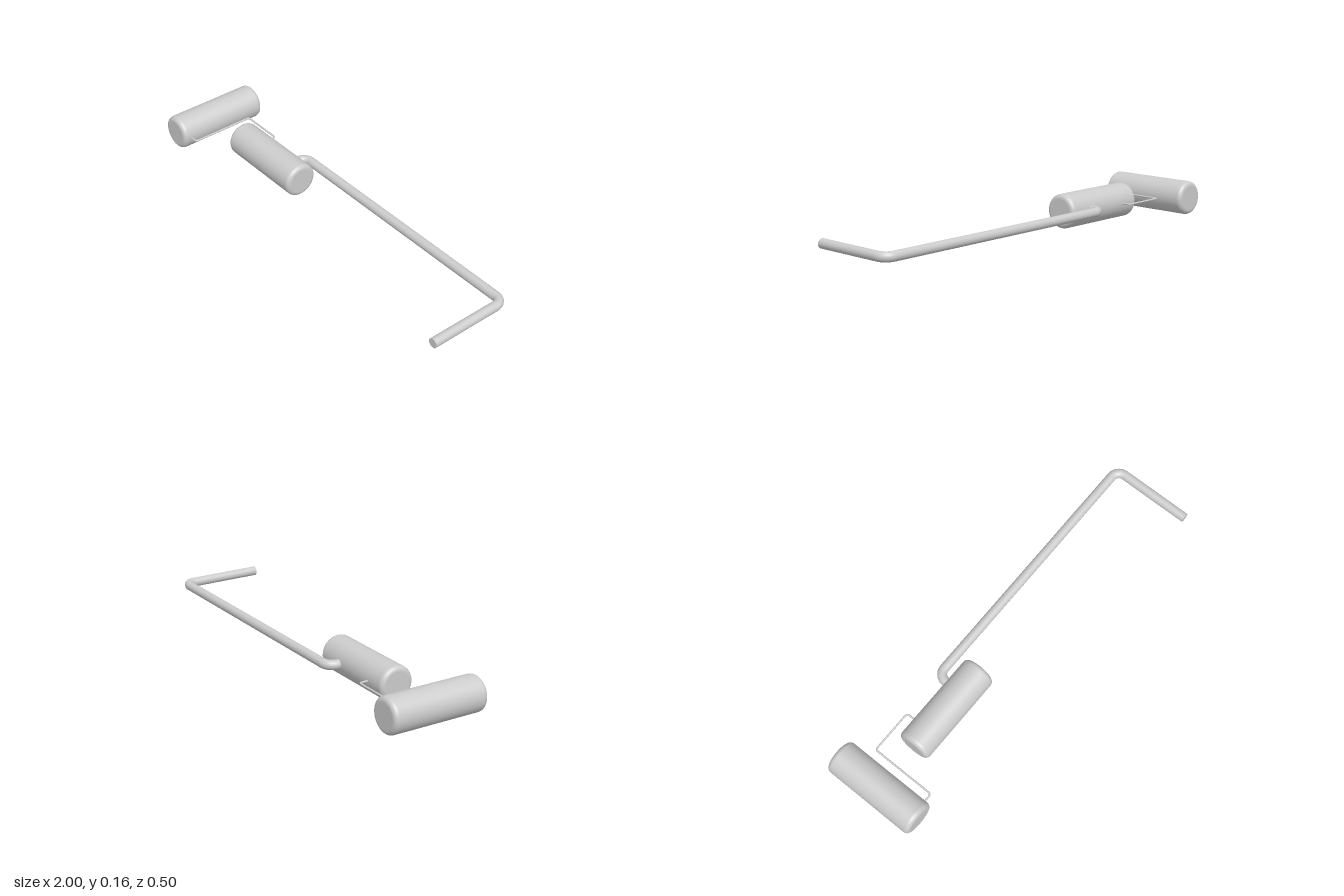
import * as THREE from 'three';

const MID = 0.082; // height of every axis
const material = new THREE.MeshStandardMaterial({ color: 0xcccccc });

// Solid cylinder with rounded rims, axis along y, centred
function roundedCylinder(name, radius, length, fillet) {
  const h = length / 2;
  const profile = [new THREE.Vector2(0, -h)];
  const normalsSteps = 8;
  // short flat ring beside each rim keeps the end caps shading flat
  profile.push(new THREE.Vector2(radius - fillet - 0.001, -h));
  for (const end of [0, 1]) {
    for (let i = 0; i <= normalsSteps; i++) {
      const a = -Math.PI / 2 + (Math.PI / 2) * (i / normalsSteps + end);
      const y = end ? h - fillet : -h + fillet;
      profile.push(new THREE.Vector2(radius - fillet + fillet * Math.cos(a), y + fillet * Math.sin(a)));
    }
  }
  profile.push(new THREE.Vector2(radius - fillet - 0.001, h), new THREE.Vector2(0, h));
  const mesh = new THREE.Mesh(new THREE.LatheGeometry(profile, 64), material);
  mesh.name = name;
  return mesh;
}

// Round rod through [x, z] corners, with quarter-round bends and flat ends
function bentRod(name, corners, radius, bend, sides) {
  const pts = corners.map(([x, z]) => new THREE.Vector3(x, MID, z));
  const path = new THREE.CurvePath();
  const toward = (from, to, d) => from.clone().addScaledVector(to.clone().sub(from).normalize(), d);
  const k = bend * (1 - 0.5523);
  let last = pts[0];
  for (let i = 1; i < pts.length - 1; i++) {
    const [a, p, b] = [pts[i - 1], pts[i], pts[i + 1]];
    const start = toward(p, a, bend), end = toward(p, b, bend);
    path.add(new THREE.LineCurve3(last, start));
    path.add(new THREE.CubicBezierCurve3(start, toward(p, a, k), toward(p, b, k), end));
    last = end;
  }
  path.add(new THREE.LineCurve3(last, pts[pts.length - 1]));

  const group = new THREE.Group();
  group.name = name;
  group.add(new THREE.Mesh(new THREE.TubeGeometry(path, 300, radius, sides), material));
  // End caps
  for (const [end, next] of [[pts[0], pts[1]], [pts[pts.length - 1], pts[pts.length - 2]]]) {
    const cap = new THREE.Mesh(new THREE.CircleGeometry(radius, sides), material);
    cap.position.copy(end);
    cap.lookAt(end.clone().multiplyScalar(2).sub(next));
    group.add(cap);
  }
  return group;
}

export function createModel() {
  const model = new THREE.Group();

  // Outer roller, lying front to back
  const outer = roundedCylinder('outerRoller', 0.082, 0.467, 0.022);
  outer.rotation.x = Math.PI / 2;
  outer.position.set(-0.918, MID, -0.0175);
  model.add(outer);

  // Inner roller, lying side to side
  const inner = roundedCylinder('innerRoller', 0.082, 0.467, 0.022);
  inner.rotation.z = Math.PI / 2;
  inner.position.set(-0.452, MID, -0.0175);
  model.add(inner);

  // Thin wire joining the two rollers
  model.add(bentRod('linkWire',
    [[-0.85, 0.18], [-0.797, 0.18], [-0.797, -0.14], [-0.582, -0.14], [-0.582, -0.09]], 0.0045, 0.013, 12));

  // Thick crank handle
  model.add(bentRod('crankHandle',
    [[-0.357, -0.06], [-0.357, -0.148], [0.975, -0.148], [0.975, 0.252]], 0.0225, 0.045, 32));

  return model;
}
